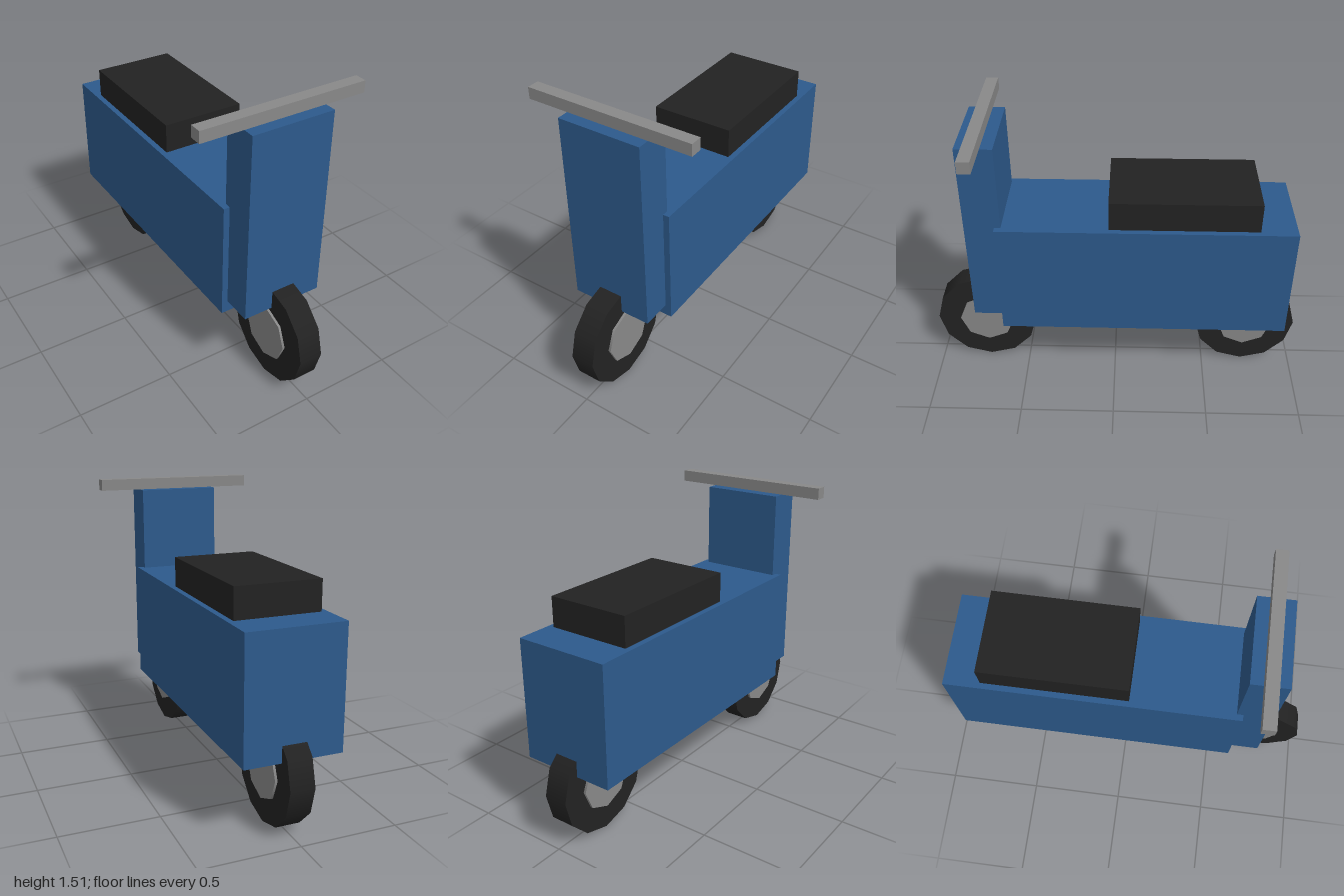
import * as THREE from 'three';

function material(name, color) {
  const m = new THREE.MeshStandardMaterial({ color });
  m.name = name;
  return m;
}

export function createModel() {
  const model = new THREE.Group();
  model.name = 'scooter';
  const blue = material('blue paint', 0x2d5a8c);
  const black = material('black rubber', 0x222222);
  const grey = material('grey metal', 0x888888);

  // Box spanning the given half width, y range and z range
  function box(name, mat, halfX, y0, y1, z0, z1) {
    const mesh = new THREE.Mesh(new THREE.BoxGeometry(halfX * 2, y1 - y0, z1 - z0), mat);
    mesh.name = name;
    mesh.position.set(0, (y0 + y1) / 2, (z0 + z1) / 2);
    model.add(mesh);
  }

  // Cylinder lying along x, with smooth sides and flat caps
  function disc(name, mat, radius, width, sides) {
    const geometry = new THREE.CylinderGeometry(radius, radius, width, sides).rotateZ(Math.PI / 2);
    const mesh = new THREE.Mesh(geometry, mat);
    mesh.name = name;
    return mesh;
  }

  // Bodywork
  box('body', blue, 0.25, 0.38, 1.005, -0.912, 0.6);
  box('frontShield', blue, 0.218, 0.443, 1.45, 0.568, 0.753);
  box('seat', black, 0.22, 1.005, 1.16, -0.725, 0.03);
  box('handlebar', grey, 0.438, 1.45, 1.51, 0.63, 0.693);

  // Wheels: twelve-sided tyre with an eight-sided hub standing proud on both sides
  for (const [name, z] of [['frontWheel', 0.725], ['rearWheel', -0.725]]) {
    const wheel = new THREE.Group();
    wheel.name = name;
    wheel.add(disc('tyre', black, 0.275, 0.125, 12), disc('hub', grey, 0.15, 0.15, 8));
    wheel.position.set(0, 0.275, z);
    model.add(wheel);
  }
  return model;
}
